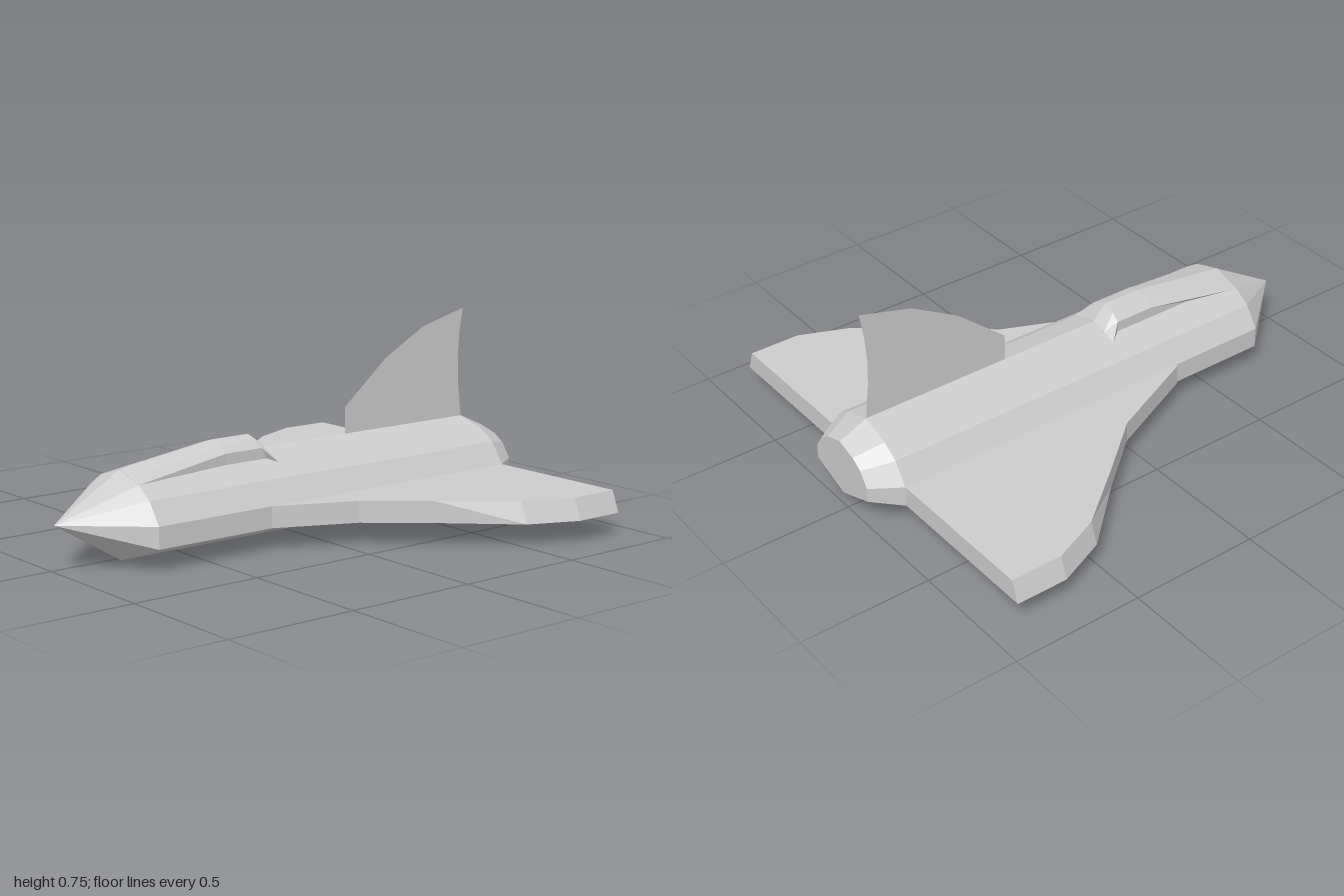
import * as THREE from 'three';

const CENTRE = 0.023; // the body sits slightly off the wing centreline
const material = new THREE.MeshStandardMaterial({ color: 0xcccccc, flatShading: true, side: THREE.DoubleSide });

// Mirrors a right-hand profile (bottom to top) into a closed ring.
function ring(profile, z, cx = 0) {
  const left = profile.filter(([x]) => x > 0).reverse().map(([x, y]) => [-x, y]);
  return [...profile, ...left].map(([x, y]) => [cx + x, y, z]);
}

// Skins a list of rings running from back to front and caps both ends.
function loft(name, rings) {
  const n = rings[0].length;
  const positions = [];
  const tri = (a, b, c) => positions.push(...a, ...b, ...c);
  for (let r = 0; r < rings.length - 1; r++) {
    const [back, front] = [rings[r], rings[r + 1]];
    for (let i = 0; i < n; i++) {
      const j = (i + 1) % n;
      tri(back[i], back[j], front[j]);
      tri(back[i], front[j], front[i]);
    }
  }
  const first = rings[0], last = rings[rings.length - 1];
  for (let i = 1; i < n - 1; i++) {
    tri(first[0], first[i + 1], first[i]);
    tri(last[0], last[i], last[i + 1]);
  }
  const geometry = new THREE.BufferGeometry();
  geometry.setAttribute('position', new THREE.Float32BufferAttribute(positions, 3));
  geometry.computeVertexNormals();
  const mesh = new THREE.Mesh(geometry, material);
  mesh.name = name;
  return mesh;
}

export function createModel() {
  const model = new THREE.Group();
  model.name = 'spacePlane';

  // Fuselage: constant section, tapered tail and pointed nose
  const hull = [[0, 0], [0.235, 0.085], [0.235, 0.165], [0.18, 0.245], [0.116, 0.288], [0, 0.323]];
  const axisY = 0.165;
  const hullRing = (z, s) => ring(hull.map(([x, y]) => [x * s, axisY + (y - axisY) * s]), z, CENTRE);
  model.add(loft('fuselage', [hullRing(-1, 0.69), hullRing(-0.89, 1), hullRing(0.73, 1)]));
  model.add(loft('noseCone', [hullRing(0.73, 1), hullRing(1, 0.0001)]));

  // Canopy: raised roof that blends into the hull at both ends
  const lowRoof = [[0.08, 0.25], [0.116, 0.288], [0.06, 0.306], [0, 0.324]];
  const highRoof = [[0.08, 0.25], [0.08, 0.34], [0.05, 0.365], [0, 0.38]];
  model.add(loft('canopy', [
    ring(lowRoof, 0.12, CENTRE),
    ring(highRoof, 0.17, CENTRE),
    ring(highRoof, 0.33, CENTRE),
    ring(lowRoof, 0.73, CENTRE),
  ]));

  // Delta wing: z, half width below, half width above
  const spans = [
    [-0.89, 0.86, 0.83], [-0.69, 0.86, 0.83], [-0.5, 0.78, 0.75],
    [-0.26, 0.56, 0.56], [-0.05, 0.387, 0.387], [0.33, 0.22, 0.22],
  ];
  model.add(loft('wing', spans.map(([z, low, high]) => ring([[low, 0.085], [high, 0.165]], z))));

  // Tail fin: thin sheet drawn in (z, y) and turned to stand along the body
  const outline = [
    [0.29, 0.31], [0.29, 0.425], [0.49, 0.59], [0.68, 0.695], [0.89, 0.75],
    [0.875, 0.66], [0.868, 0.56], [0.872, 0.46], [0.89, 0.31],
  ].map(([x, y]) => new THREE.Vector2(x, y));
  const fin = new THREE.Mesh(new THREE.ShapeGeometry(new THREE.Shape(outline)), material);
  fin.name = 'tailFin';
  fin.rotation.y = Math.PI / 2;
  fin.position.x = CENTRE;
  model.add(fin);

  return model;
}
